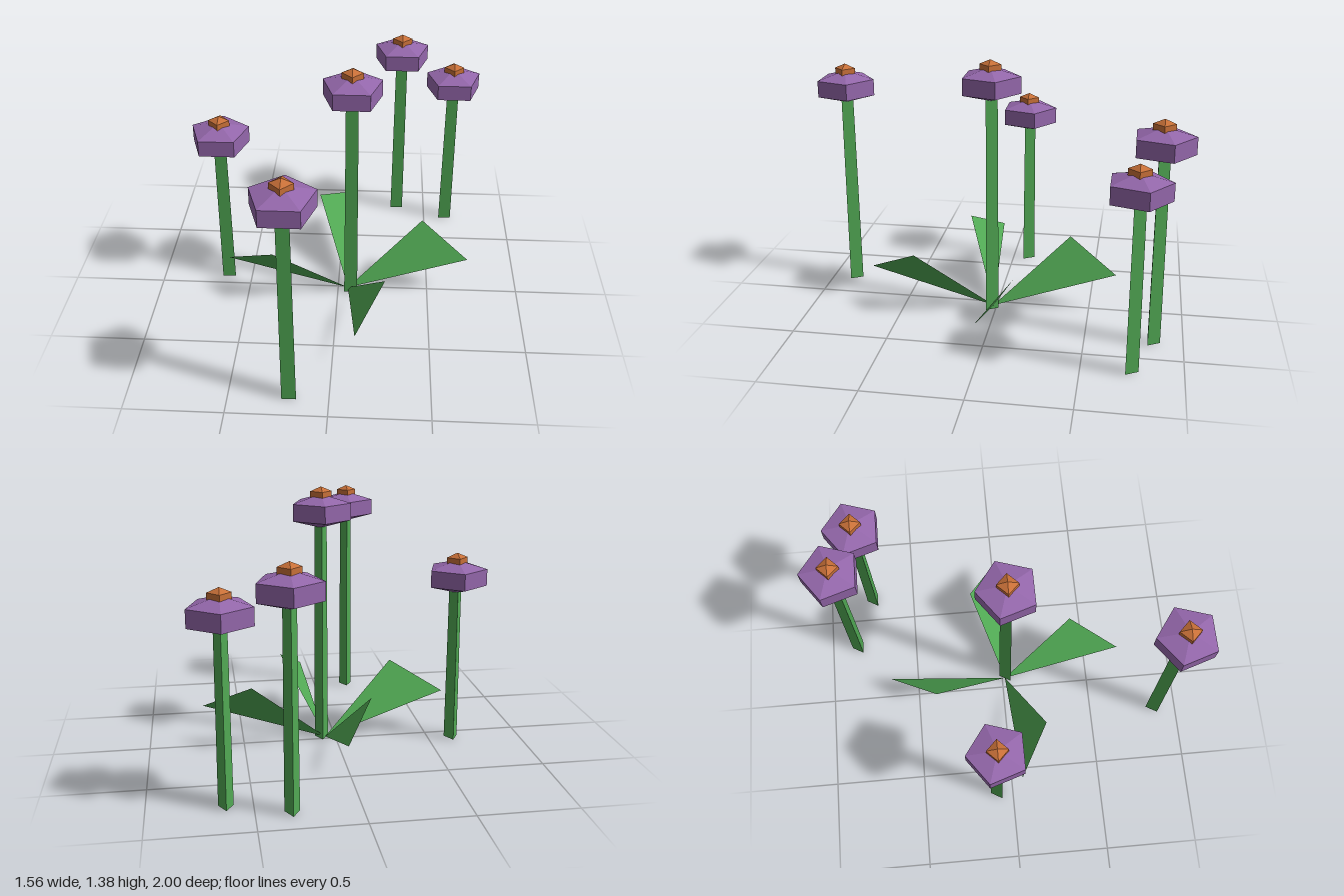
import * as THREE from 'three';

const mat = (name, color, side = THREE.FrontSide) =>
  Object.assign(new THREE.MeshStandardMaterial({ color, flatShading: true, side }), { name });

export function createModel() {
  const group = new THREE.Group();
  const green = mat('leafGreen', 0x51a954, THREE.DoubleSide);
  const purple = mat('petalPurple', 0x9467ab);
  const orange = mat('centreOrange', 0xc87038);

  const add = (parent, name, geometry, material, y = 0) => {
    const mesh = new THREE.Mesh(geometry, material);
    mesh.name = name;
    mesh.position.y = y;
    parent.add(mesh);
  };

  // Five-sided blossom and four-sided centre, both squashed low-poly spheres
  const blossomGeo = new THREE.SphereGeometry(0.182, 5, 3).rotateY(-Math.PI / 2).scale(1, 0.482, 1);
  const centreGeo = new THREE.SphereGeometry(0.064, 4, 3).scale(1, 0.75, 1);

  // Flowers: x, z and height of the blossom's middle
  const flowers = [
    [-0.63, -0.083, 0.905],
    [-0.197, 0.872, 1.14],
    [0.072, 0.028, 1.25],
    [0.328, -0.842, 1.053],
    [0.628, -0.74, 0.926],
  ];
  for (const [x, z, h] of flowers) {
    const flower = new THREE.Group();
    flower.name = 'flower';
    flower.position.set(x, 0, z);
    // Three-sided tapering stem, flat side to the front
    const stemGeo = new THREE.CylinderGeometry(0.037, 0.042, h, 3).rotateY(Math.PI);
    add(flower, 'stem', stemGeo, green, h / 2);
    add(flower, 'blossom', blossomGeo, purple, h);
    add(flower, 'blossomCentre', centreGeo, orange, h + 0.078);
    group.add(flower);
  }

  // Four flat triangular leaves fanning out from one root: shoulder x, z and tip x, z
  const leaves = [
    [0.462, -0.15, 0.712, 0.013],
    [0.26, 0.405, 0.115, 0.672],
    [-0.34, 0.21, -0.603, 0.056],
    [-0.124, -0.382, 0.034, -0.641],
  ];
  for (const [sx, sz, tx, tz] of leaves) {
    const geo = new THREE.BufferGeometry().setFromPoints([
      new THREE.Vector3(0.055, 0.005, 0.016),
      new THREE.Vector3(tx, 0.223, tz),
      new THREE.Vector3(sx, 0.365, sz),
    ]);
    geo.computeVertexNormals();
    add(group, 'leaf', geo, green);
  }
  return group;
}
